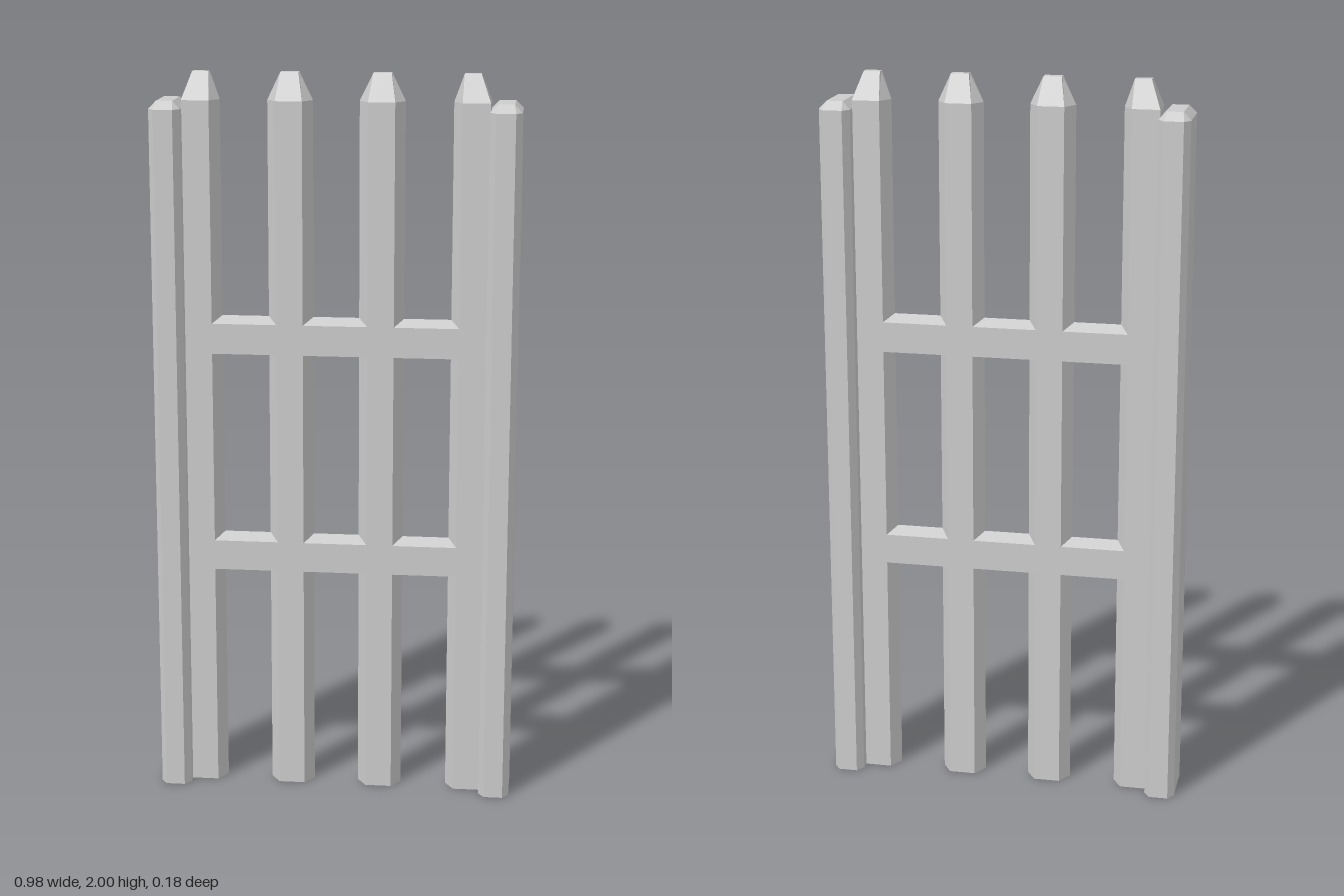
import * as THREE from 'three';

const material = new THREE.MeshStandardMaterial({ color: 0xcccccc, flatShading: true, side: THREE.DoubleSide });

// Joins rings of [x, z] points (counter-clockwise from above) at given heights.
// The foot stays open, the top is closed.
function loft(sections) {
  const pos = [];
  const tri = (...pts) => pts.forEach((p) => pos.push(...p));
  const rings = sections.map(({ y, ring }) => ring.map(([x, z]) => [x, y, z]));
  const n = rings[0].length;
  for (let s = 0; s < rings.length - 1; s++) {
    for (let i = 0; i < n; i++) {
      const j = (i + 1) % n;
      const a = rings[s][i], b = rings[s][j], c = rings[s + 1][j], d = rings[s + 1][i];
      tri(a, b, c);
      tri(a, c, d);
    }
  }
  const top = rings[rings.length - 1];
  for (let i = 1; i < n - 1; i++) tri(top[0], top[i], top[i + 1]);
  const geo = new THREE.BufferGeometry();
  geo.setAttribute('position', new THREE.Float32BufferAttribute(pos, 3));
  geo.computeVertexNormals();
  return geo;
}

// Six-sided ring: pointed at both x ends, flat at front and back.
const hexRing = (pointL, flatL, flatR, pointR, hz) => [
  [pointR, 0], [flatR, -hz], [flatL, -hz], [pointL, 0], [flatL, hz], [flatR, hz],
];

// Chamfered rectangle ring.
const chamferRing = (hx, fx, hz, fz) => [
  [hx, -fz], [fx, -hz], [-fx, -hz], [-hx, -fz],
  [-hx, fz], [-fx, hz], [fx, hz], [hx, fz],
];

// Mirrors a ring in x, keeping its direction.
const mirrorRing = (ring) => ring.map(([x, z]) => [-x, z]).reverse();

export function createModel() {
  const group = new THREE.Group();
  const add = (name, geometry, x = 0, y = 0) => {
    const mesh = new THREE.Mesh(geometry, material);
    mesh.name = name;
    mesh.position.set(x, y, 0);
    group.add(mesh);
  };

  // End posts with a low bevelled cap
  const body = chamferRing(0.042, 0.026, 0.088, 0.065);
  const cap = chamferRing(0.022, 0.021, 0.06, 0.059);
  const post = loft([{ y: 0, ring: body }, { y: 1.905, ring: body }, { y: 1.926, ring: cap }]);
  add('leftPost', post, 0.45);
  add('rightPost', post, -0.45);

  // Inner pickets with tapered tips
  const inner = hexRing(-0.061, -0.036, 0.036, 0.061, 0.04);
  const innerTip = hexRing(-0.024, -0.024, 0.024, 0.024, 0.013);
  const picket = loft([{ y: 0, ring: inner }, { y: 1.926, ring: inner }, { y: 2, ring: innerTip }]);
  add('leftInnerPicket', picket, 0.123);
  add('rightInnerPicket', picket, -0.123);

  // Outer pickets, cut flat where they meet the posts
  const outer = hexRing(0.311, 0.335, 0.409, 0.409, 0.04);
  const outerTip = hexRing(0.338, 0.338, 0.382, 0.382, 0.013);
  for (const [name, side] of [['leftOuterPicket', (r) => r], ['rightOuterPicket', mirrorRing]]) {
    add(name, loft([
      { y: 0, ring: side(outer) },
      { y: 1.926, ring: side(outer) },
      { y: 2, ring: side(outerTip) },
    ]));
  }

  // Cross rails with a ridged top
  const profile = new THREE.Shape([
    [-0.04, 0], [0.04, 0], [0.04, 0.083], [0, 0.1], [-0.04, 0.083],
  ].map(([x, y]) => new THREE.Vector2(x, y)));
  const rail = new THREE.ExtrudeGeometry(profile, { depth: 0.76, bevelEnabled: false });
  rail.translate(0, 0, -0.38).rotateY(Math.PI / 2);
  add('lowerRail', rail, 0, 0.63);
  add('upperRail', rail, 0, 1.243);

  return group;
}
